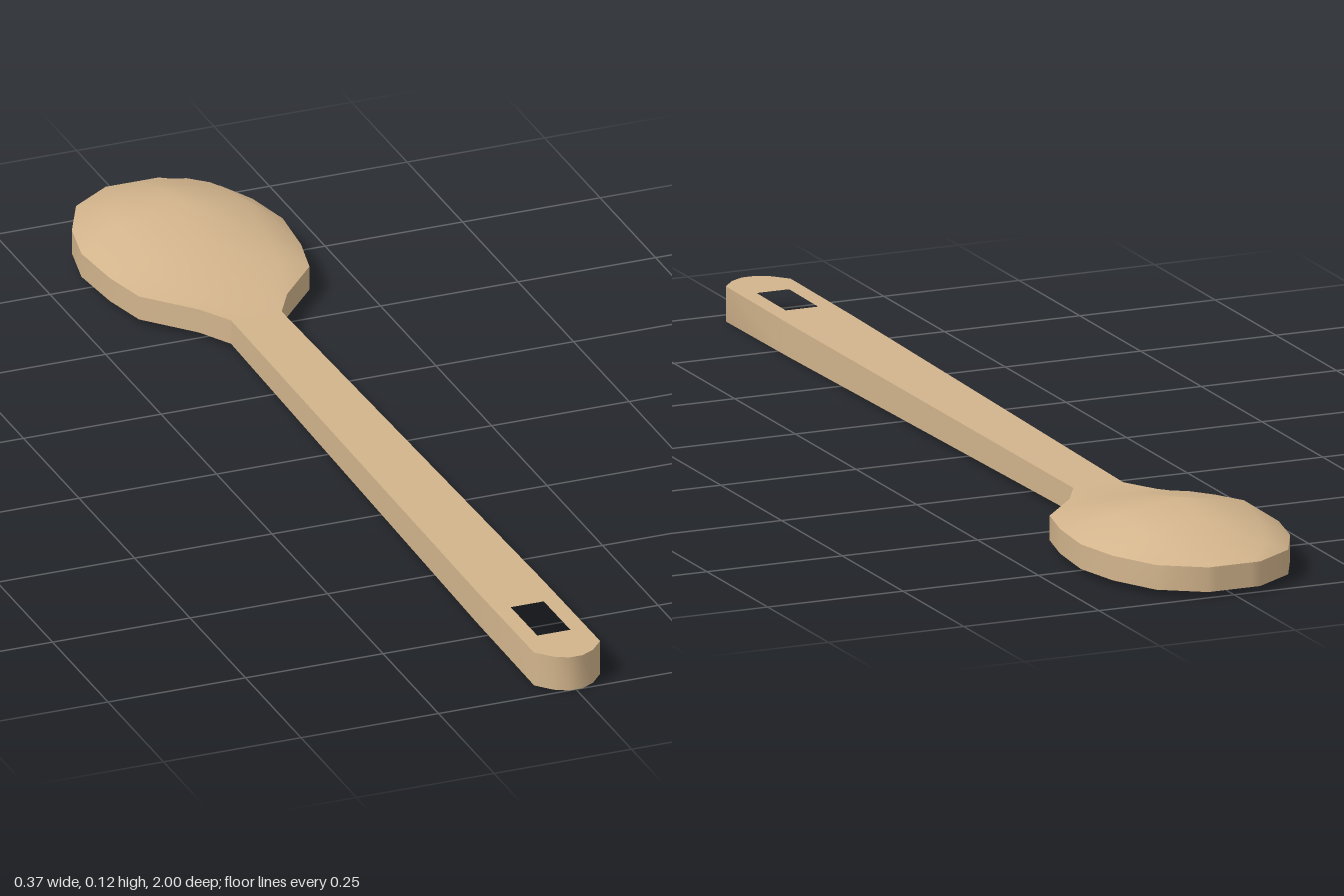
import * as THREE from 'three';
import { toCreasedNormals } from 'three/addons/utils/BufferGeometryUtils.js';

const wood = new THREE.MeshStandardMaterial({ color: 0xd2b48c });
const NECK = -0.44;

// The handle thins slightly towards the bowl
const taper = z => Math.min((1 - z) / 1.5, 1);
const bottomY = z => 0.01 * taper(z);
const topY = z => 0.062 - 0.009 * taper(z);

function add(group, geometry, name, crease) {
  const mesh = new THREE.Mesh(toCreasedNormals(geometry, crease), wood);
  mesh.name = name;
  group.add(mesh);
}

// Flat tapered handle with a rounded end and a hanging hole
function handleGeometry() {
  const side = [[0.046, NECK], [0.06, 0.7], [0.06, 0.96], [0.036, 0.987], [0.012, 1]];
  const mirrored = side.map(([x, z]) => [-x, z]).reverse();
  const shape = new THREE.Shape([...side, ...mirrored].map(([x, z]) => new THREE.Vector2(x, -z)));
  const hole = [[-0.03, 0.78], [0.03, 0.78], [0.03, 0.9], [-0.03, 0.9]];
  shape.holes.push(new THREE.Path(hole.map(([x, z]) => new THREE.Vector2(x, -z))));
  const geometry = new THREE.ExtrudeGeometry(shape, { depth: 1, bevelEnabled: false });
  geometry.rotateX(-Math.PI / 2);
  const p = geometry.attributes.position;
  for (let i = 0; i < p.count; i++) {
    const z = p.getZ(i);
    p.setY(i, THREE.MathUtils.lerp(bottomY(z), topY(z), p.getY(i)));
  }
  return geometry;
}

// Domed bowl, hollow underneath, lofted from sections along z
function bowlGeometry() {
  // z, half width, dome height
  const stations = [
    [NECK, 0.046, 0], [-0.5, 0.08, 0.002], [-0.585, 0.155, 0.021], [-0.67, 0.174, 0.04],
    [-0.775, 0.183, 0.062], [-0.865, 0.164, 0.049], [-0.95, 0.122, 0.022], [-1, 0.048, 0],
  ];
  const across = [[-1, 0], [-0.65, 0.7], [0, 1], [0.65, 0.7], [1, 0]];
  const n = across.length, ring = n * 2;
  const positions = [], index = [];
  for (const [z, w, h] of stations) {
    for (const [u, v] of across) positions.push(u * w, topY(z) + v * h, z);
    for (const [u, v] of [...across].reverse()) positions.push(u * w, bottomY(z) + v * h, z);
  }
  const quad = (a, b, c, d) => index.push(a, b, c, b, d, c);
  for (let i = 0; i < stations.length - 1; i++) {
    for (let j = 0; j < ring; j++) {
      const a = i * ring + j, b = i * ring + (j + 1) % ring;
      quad(a, b, a + ring, b + ring);
    }
  }
  // Closing wall at the tip
  const last = (stations.length - 1) * ring;
  for (let j = 0; j < n - 1; j++) {
    quad(last + j, last + j + 1, last + ring - 1 - j, last + ring - 2 - j);
  }
  const geometry = new THREE.BufferGeometry();
  geometry.setAttribute('position', new THREE.Float32BufferAttribute(positions, 3));
  geometry.setIndex(index);
  return geometry;
}

export function createModel() {
  const group = new THREE.Group();
  group.name = 'spoon';
  add(group, handleGeometry(), 'handle', 0.85);
  add(group, bowlGeometry(), 'bowl', 0.75);
  return group;
}
